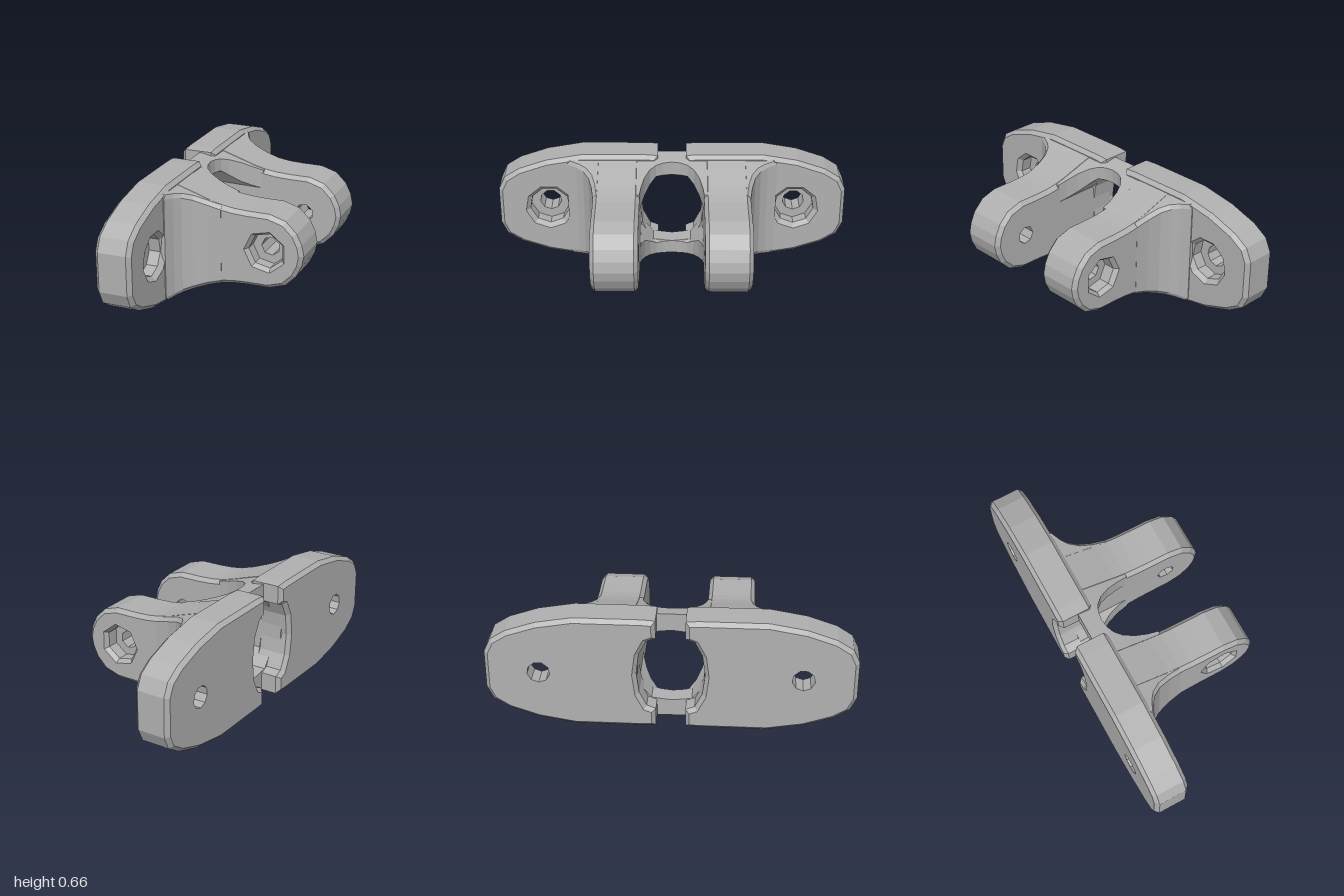
import * as THREE from 'three';

const MID = 0.33; // height of the symmetry plane
const V3 = (x, y, z) => new THREE.Vector3(x, y, z);
// local (u, v, w) -> world (y, z, x), for parts built along x
const ALONG_X = new THREE.Matrix4().makeBasis(V3(0, 1, 0), V3(0, 0, 1), V3(1, 0, 0));

// top edge of the body as seen from the front
const TOP = [[-0.43, 0.658], [-0.34, 0.65], [-0.26, 0.635], [-0.15, 0.6], [-0.07, 0.573], [0, 0.555], [0.07, 0.545]];
function topAt(x) {
  for (let i = 1; i < TOP.length; i++) {
    const [x0, y0] = TOP[i - 1], [x1, y1] = TOP[i];
    if (x <= x1) return y0 + (y1 - y0) * Math.max(0, (x - x0) / (x1 - x0));
  }
  return TOP.at(-1)[1];
}

// mitred inset of a counter-clockwise outline
function inset(pts, c) {
  const n = pts.length;
  const normal = (a, b) => new THREE.Vector2(-(b[1] - a[1]), b[0] - a[0]).normalize();
  return pts.map((p, i) => {
    const n1 = normal(pts[(i + n - 1) % n], p), n2 = normal(p, pts[(i + 1) % n]);
    const k = c / (1 + n1.dot(n2));
    return [p[0] + (n1.x + n2.x) * k, p[1] + (n1.y + n2.y) * k];
  });
}

const ring = ([u, v], r, n) => Array.from({ length: n }, (_, i) => {
  const a = ((i + 0.5) / n) * Math.PI * 2;
  return [u + r * Math.cos(a), v + r * Math.sin(a)];
});

// faceted wall between two loops at heights w0 and w1
function strip(out, a, w0, b, w1) {
  a.forEach((p, i) => {
    const j = (i + 1) % a.length, q = a[j], r = b[j], s = b[i];
    out.push(...p, w0, ...q, w0, ...r, w1, ...p, w0, ...r, w1, ...s, w1);
  });
}

// flat end face, optionally with a hole
function cap(out, loop, w, up, hole) {
  const toV = (l) => l.map((p) => new THREE.Vector2(...p));
  const shape = new THREE.Shape(toV(loop));
  if (hole) shape.holes.push(new THREE.Path(toV(hole)));
  const g = new THREE.ShapeGeometry(shape).toNonIndexed().attributes.position;
  for (let i = 0; i < g.count; i += 3) {
    for (const k of up ? [0, 1, 2] : [0, 2, 1]) out.push(g.getX(i + k), g.getY(i + k), w);
  }
}

function toGeometry(out, matrix) {
  const g = new THREE.BufferGeometry();
  g.setAttribute('position', new THREE.Float32BufferAttribute(out, 3));
  if (matrix) g.applyMatrix4(matrix);
  g.computeVertexNormals();
  return g;
}

// chamfered slab with a counterbored bolt hole opening on the w1 side
function boredSlab(outline, w0, w1, c, bolt, matrix) {
  const out = [], small = inset(outline, c);
  const { at, r, R, lip, depth, n } = bolt;
  const hole = ring(at, r, n), bore = ring(at, R, n), mouth = ring(at, lip, n);
  strip(out, small, w0, outline, w0 + c);
  strip(out, outline, w0 + c, outline, w1 - c);
  strip(out, outline, w1 - c, small, w1);
  cap(out, small, w1, true, mouth);
  strip(out, mouth, w1, bore, w1 - 0.025);
  strip(out, bore, w1 - 0.025, bore, w1 - depth);
  strip(out, bore, w1 - depth, hole, w1 - depth);
  strip(out, hole, w1 - depth, hole, w0);
  cap(out, small, w0, false, hole);
  return toGeometry(out, matrix);
}

// solid through (y, z) cross-sections at rising x
function loft(sections) {
  const out = [], last = sections.at(-1);
  for (let i = 1; i < sections.length; i++) {
    const a = sections[i - 1], b = sections[i];
    strip(out, a.loop, a.x, b.loop, b.x);
  }
  cap(out, sections[0].loop, sections[0].x, false);
  cap(out, last.loop, last.x, true);
  return toGeometry(out, ALONG_X);
}

export function createModel() {
  const metal = new THREE.MeshStandardMaterial({ color: 0xb0b0b0 });
  const model = new THREE.Group();
  model.name = 'clevisBracket';

  const half = new THREE.Group();
  const add = (name, geometry) => {
    const m = new THREE.Mesh(geometry, metal);
    m.name = name;
    half.add(m);
    return m;
  };

  // mounting plate, points as (y, z), with half of the central window cut in
  add('mountingPlate', boredSlab([
    [0.005, 0.08], [0.11, 0.08], [0.13, 0.13], [0.21, 0.17], [0.33, 0.185], [0.45, 0.17],
    [0.53, 0.13], [0.55, 0.08], [0.655, 0.08], [0.66, 0.15], [0.66, 0.52], [0.625, 0.72],
    [0.57, 0.88], [0.515, 0.965], [0.44, 1], [0.22, 1], [0.145, 0.965], [0.09, 0.88],
    [0.035, 0.72], [0, 0.52], [0, 0.15],
  ], -0.463, -0.26, 0.022,
  { at: [MID, 0.71], r: 0.062, R: 0.115, lip: 0.14, depth: 0.09, n: 9 }, ALONG_X));

  // lug arm, top edge mirrored to the bottom
  const upper = [...TOP, [0.15, 0.541], [0.27, 0.54], [0.36, 0.512], [0.42, 0.452], [0.45, 0.39]];
  const armOutline = [
    ...upper.map(([x, y]) => [x, 2 * MID - y]),
    [0.462, MID],
    ...upper.slice().reverse(),
  ];
  add('lugArm', boredSlab(armOutline, 0.18, 0.44, 0.022,
    { at: [0.25, MID], r: 0.052, R: 0.1, lip: 0.12, depth: 0.09, n: 7 }));

  // outer fillet from plate to arm: [x, outer z]
  const c = 0.02;
  const filletPath = [[-0.42, 0.55], [-0.27, 0.6], [-0.255, 0.6], [-0.23, 0.545], [-0.2, 0.505],
    [-0.15, 0.472], [-0.08, 0.452], [0, 0.441]];
  add('outerFillet', loft(filletPath.map(([x, z]) => {
    const h = topAt(x) - 0.001, l = 2 * MID - h;
    return { x, loop: [[l, 0.3], [h, 0.3], [h, z - c], [h - c, z], [l + c, z], [l, z - c]] };
  })));

  // curved web joining the arms above and below the window: [x, inner z]
  const under = (z) => 0.55 - Math.max(0, z - 0.1) * 1.3;
  const webPath = [[-0.35, 0], [-0.25, 0], [-0.243, 0.05], [-0.225, 0.09], [-0.19, 0.125],
    [-0.13, 0.155], [-0.06, 0.173], [0, 0.181]];
  const webGeometry = loft(webPath.map(([x, z]) => {
    const h = topAt(x) - 0.002, m = Math.max(z + 0.005, 0.11);
    return { x, loop: [[h, z], [h, 0.22], [0.4, 0.22], [under(m), m], [under(z), z]] };
  }));
  add('upperWeb', webGeometry);
  const lowerWeb = add('lowerWeb', webGeometry);
  lowerWeb.scale.y = -1;
  lowerWeb.position.y = 2 * MID;

  // front half and its mirror image
  half.name = 'frontHalf';
  const back = half.clone();
  back.name = 'backHalf';
  back.scale.z = -1;
  model.add(half, back);
  return model;
}
